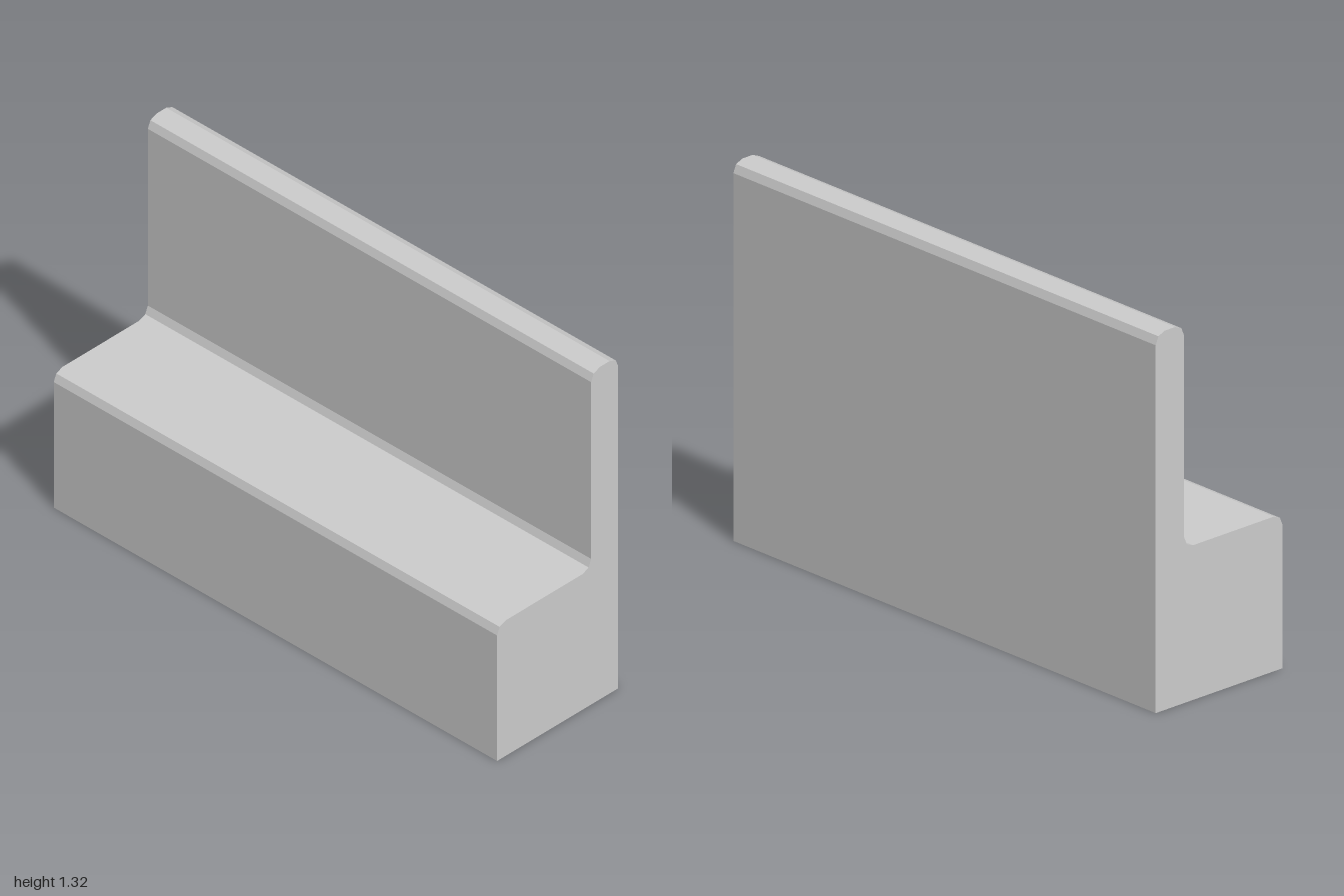
import * as THREE from 'three';

export function createModel() {
  const group = new THREE.Group();
  group.name = 'bench';
  const grey = new THREE.MeshStandardMaterial({ color: 0xcccccc, side: THREE.DoubleSide, flatShading: true });
  grey.name = 'light grey';

  // Bevelled two-step corner, from angle a0 to a1 (degrees), as [z, y] points
  const R = 0.04;
  const corner = (z, y, a0, a1) => [0, 1, 2].map((i) => {
    const a = THREE.MathUtils.degToRad(a0 + ((a1 - a0) * i) / 2);
    return [z + R * Math.cos(a), y + R * Math.sin(a)];
  });

  // Side profile from the front foot, over seat and backrest, to the back foot
  const profile = [
    [0.28, 0],
    ...corner(0.24, 0.5, 0, 90),       // seat front edge
    ...corner(-0.115, 0.58, -90, -180), // crease between seat and backrest
    ...corner(-0.195, 1.284, 0, 90),   // backrest top, front
    ...corner(-0.24, 1.284, 90, 180),  // backrest top, rear
    [-0.28, 0],
  ];

  // Long shell swept along x, open underneath
  const pos = [];
  for (let i = 0; i < profile.length - 1; i++) {
    const [z0, y0] = profile[i];
    const [z1, y1] = profile[i + 1];
    pos.push(-1, y0, z0, 1, y0, z0, 1, y1, z1);
    pos.push(-1, y0, z0, 1, y1, z1, -1, y1, z1);
  }
  const shellGeo = new THREE.BufferGeometry();
  shellGeo.setAttribute('position', new THREE.Float32BufferAttribute(pos, 3));
  shellGeo.computeVertexNormals();
  const shell = new THREE.Mesh(shellGeo, grey);
  shell.name = 'seatAndBackrest';
  group.add(shell);

  // Flat end panels
  for (const side of [1, -1]) {
    const shape = new THREE.Shape(profile.map(([z, y]) => new THREE.Vector2(-side * z, y)));
    const geo = new THREE.ShapeGeometry(shape);
    geo.rotateY((side * Math.PI) / 2);
    geo.translate(side, 0, 0);
    const panel = new THREE.Mesh(geo, grey);
    panel.name = side > 0 ? 'leftEndPanel' : 'rightEndPanel';
    group.add(panel);
  }
  return group;
}
